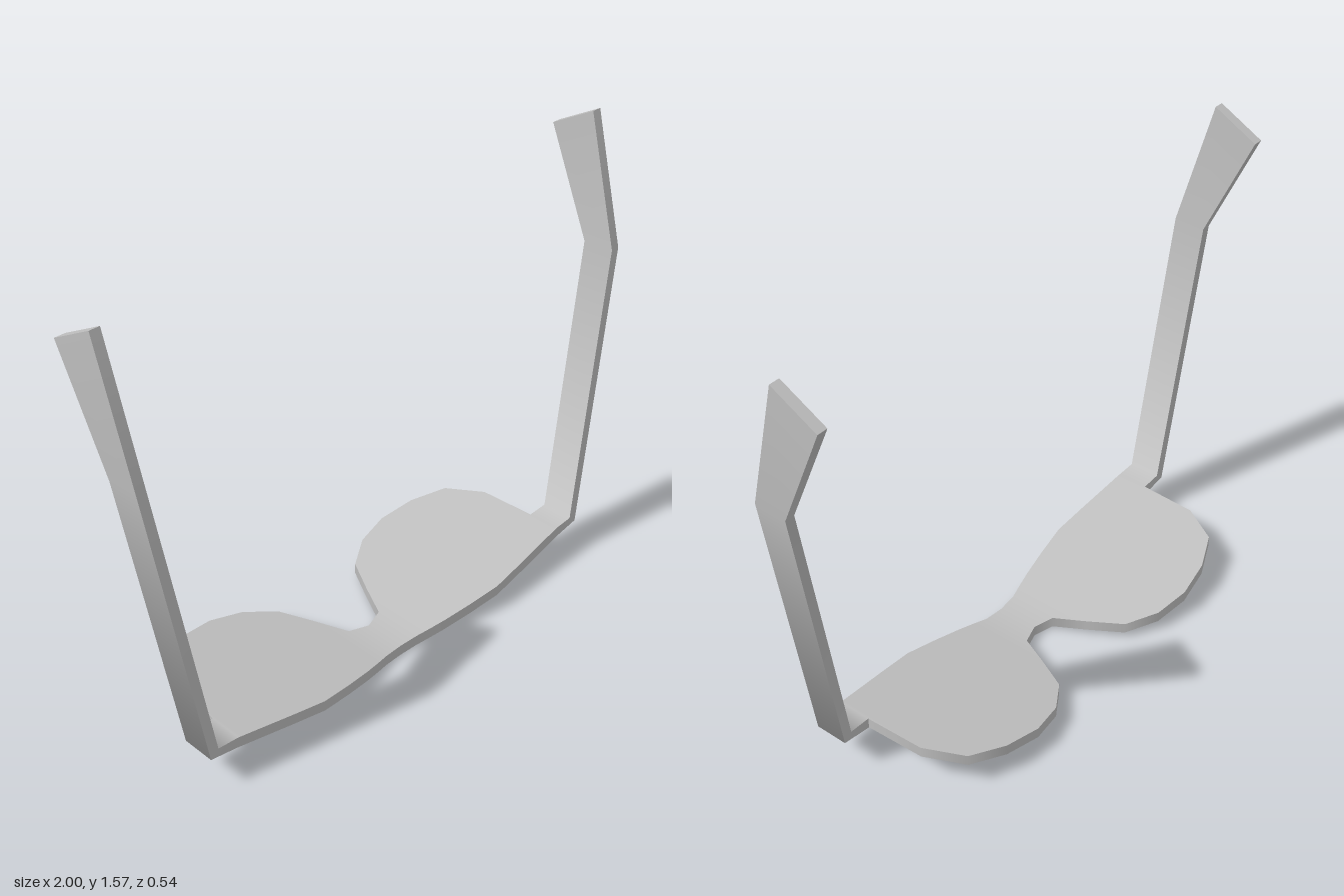
import * as THREE from 'three';

const V = (x, y, z) => new THREE.Vector3(x, y, z);

// Bent front plate: height of the underside across the width
const underside = x => (x < 0.07 ? 0.04 * x : 0.003 + (x - 0.07) * 0.167);

// Half of the frame from the nose bridge to the hinge: [x, back z, front z]
const plate = [
  [0, 0.06, 0.205], [0.07, 0.037, 0.21], [0.12, -0.068, 0.222], [0.18, -0.185, 0.235],
  [0.28, -0.25, 0.252], [0.4, -0.273, 0.268], [0.53, -0.255, 0.26], [0.65, -0.202, 0.251],
  [0.72, -0.075, 0.246], [0.73, 0.13, 0.245],
];

// Each section is a ring: outer front, outer back, inner back, inner front
const half = plate.map(([x, zb, zf]) => {
  const y = underside(x), t = y + 0.038;
  return [V(x, y, zf), V(x, y, zb), V(x, t, zb), V(x, t, zf)];
});

// Hinge corner, temple elbow and temple tip: [outer x, inner x, outer y, inner y, ...]
const bend = (xo, xi, zf, zb, yf, yb, rise = 0) =>
  [V(xo, yf, zf), V(xo, yb, zb), V(xi, yb + rise, zb), V(xi, yf + rise, zf)];
half.push(
  bend(0.835, 0.805, 0.243, 0.13, 0.131, 0.131, 0.025),
  bend(0.991, 0.958, 0.207, 0.095, 1.125, 1.12),
  bend(1, 0.965, 0.082, -0.073, 1.565, 1.482),
);

// Full chain of sections from the right tip to the left tip
const mirrored = half.slice(1).reverse().map(r => r.map(p => V(-p.x, p.y, p.z)));
const rings = [...mirrored, ...half];

// Sides of the chain: [corner, corner, crease limit as a cosine]
const sides = [[1, 0, -1], [3, 2, -1], [0, 3, 0.5], [2, 1, 0.5]];

const faceNormal = (a, b, c, d) => c.clone().sub(a).cross(d.clone().sub(b)).normalize();

// Skin the sections from one index to another, smoothing along the chain
function skin(from, to) {
  const pos = [], nor = [];
  const quad = (pts, normals) => [0, 1, 2, 0, 2, 3].forEach(k => {
    pos.push(...pts[k].toArray());
    nor.push(...normals[k].toArray());
  });
  for (const [p, q, crease] of sides) {
    const quads = rings.slice(1).map((r, i) => [rings[i][p], r[p], r[q], rings[i][q]]);
    const flat = quads.map(c => faceNormal(...c));
    const blend = (i, j) => (flat[j] && flat[i].dot(flat[j]) > crease
      ? flat[i].clone().add(flat[j]).normalize() : flat[i]);
    for (let i = from; i < to; i++) {
      const a = blend(i, i - 1), b = blend(i, i + 1);
      quad(quads[i], [a, b, b, a]);
    }
  }
  // Close the temple tips
  const cap = pts => quad(pts, Array(4).fill(faceNormal(...pts)));
  if (from === 0) cap([...rings[0]].reverse());
  if (to === rings.length - 1) cap(rings[to]);

  const g = new THREE.BufferGeometry();
  g.setAttribute('position', new THREE.Float32BufferAttribute(pos, 3));
  g.setAttribute('normal', new THREE.Float32BufferAttribute(nor, 3));
  return g;
}

export function createModel() {
  const group = new THREE.Group();
  group.name = 'sunglasses';
  const grey = new THREE.MeshStandardMaterial({ color: 0xc0c0c0 });
  grey.name = 'lightGrey';

  const last = rings.length - 1;
  const parts = { rightTemple: [0, 2], lensFrame: [2, last - 2], leftTemple: [last - 2, last] };
  for (const [name, [from, to]] of Object.entries(parts)) {
    const mesh = new THREE.Mesh(skin(from, to), grey);
    mesh.name = name;
    group.add(mesh);
  }
  return group;
}
